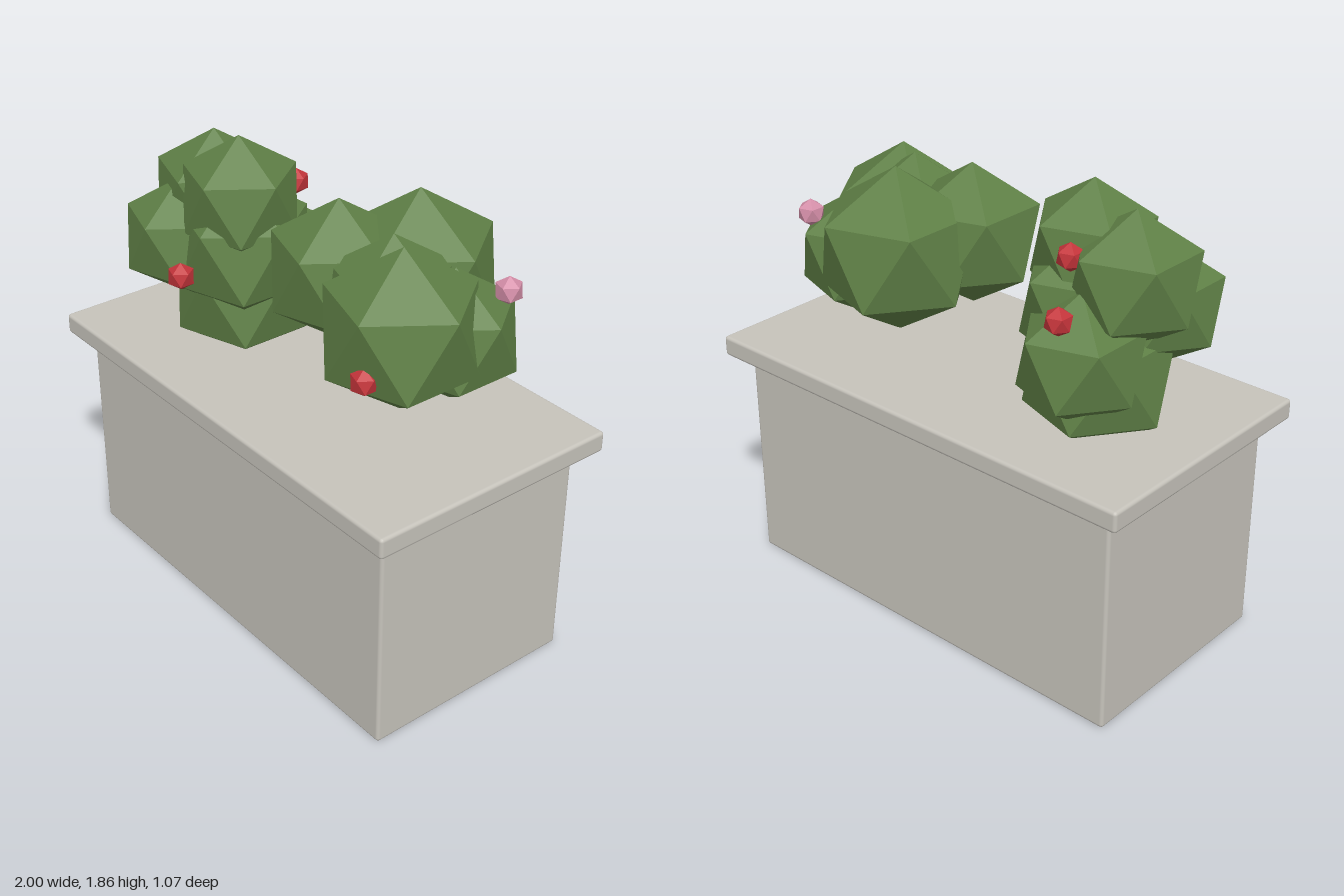
import * as THREE from 'three';
import { RoundedBoxGeometry } from 'three/addons/geometries/RoundedBoxGeometry.js';

const paint = (name, color, flatShading = false) => {
  const m = new THREE.MeshStandardMaterial({ color, flatShading });
  m.name = name;
  return m;
};

export function createModel() {
  const stone = paint('stone grey', 0xc6c3bb);
  const leaf = paint('leaf green', 0x5f8046, true);
  const red = paint('berry red', 0xc4343a, true);
  const pink = paint('blossom pink', 0xd48ea8, true);

  const model = new THREE.Group();
  model.name = 'planter';

  // Stone box and its overhanging slab
  const block = (name, w, h, d, y) => {
    const mesh = new THREE.Mesh(new RoundedBoxGeometry(w, h, d, 2, 0.014), stone);
    mesh.name = name;
    mesh.position.y = y + h / 2;
    model.add(mesh);
  };
  block('box', 1.84, 0.93, 0.92, 0);
  block('topSlab', 2, 0.085, 1.07, 0.915);

  // Icosahedron standing on a corner, shared by leaves and flowers
  const ball = new THREE.IcosahedronGeometry(1, 0);
  ball.rotateZ(Math.atan((1 + Math.sqrt(5)) / 2) - Math.PI / 2);

  const cluster = (name, part, material, list) => {
    const group = new THREE.Group();
    group.name = name;
    for (const [x, y, z, r] of list) {
      const mesh = new THREE.Mesh(ball, material);
      mesh.name = part;
      mesh.position.set(x, y, z);
      mesh.scale.setScalar(r);
      group.add(mesh);
    }
    model.add(group);
  };

  // Shrubs: x, y, z, radius of each clump
  cluster('rightShrub', 'leafClump', leaf, [
    [-0.5, 1.16, -0.01, 0.31],
    [-0.42, 1.39, 0.05, 0.3],
    [-0.625, 1.4, 0.2, 0.245],
    [-0.62, 1.545, 0.03, 0.265],
    [-0.4, 1.605, 0.07, 0.255],
    [-0.53, 1.27, -0.15, 0.26],
  ]);
  cluster('leftShrub', 'leafClump', leaf, [
    [0.155, 1.505, 0.035, 0.285],
    [0.3, 1.48, -0.225, 0.33],
    [0.45, 1.5, 0.03, 0.26],
    [0.56, 1.445, 0.08, 0.32],
    [0.588, 1.365, -0.14, 0.265],
  ]);

  // Berries and a single blossom
  cluster('berries', 'berry', red, [
    [-0.38, 1.37, 0.37, 0.056],
    [-0.58, 1.5, -0.34, 0.056],
    [-0.465, 1.64, -0.14, 0.056],
    [0.635, 1.355, 0.31, 0.056],
    [0.32, 1.31, 0.15, 0.056],
  ]);
  cluster('blossoms', 'blossom', pink, [[0.705, 1.54, -0.29, 0.056]]);

  return model;
}
